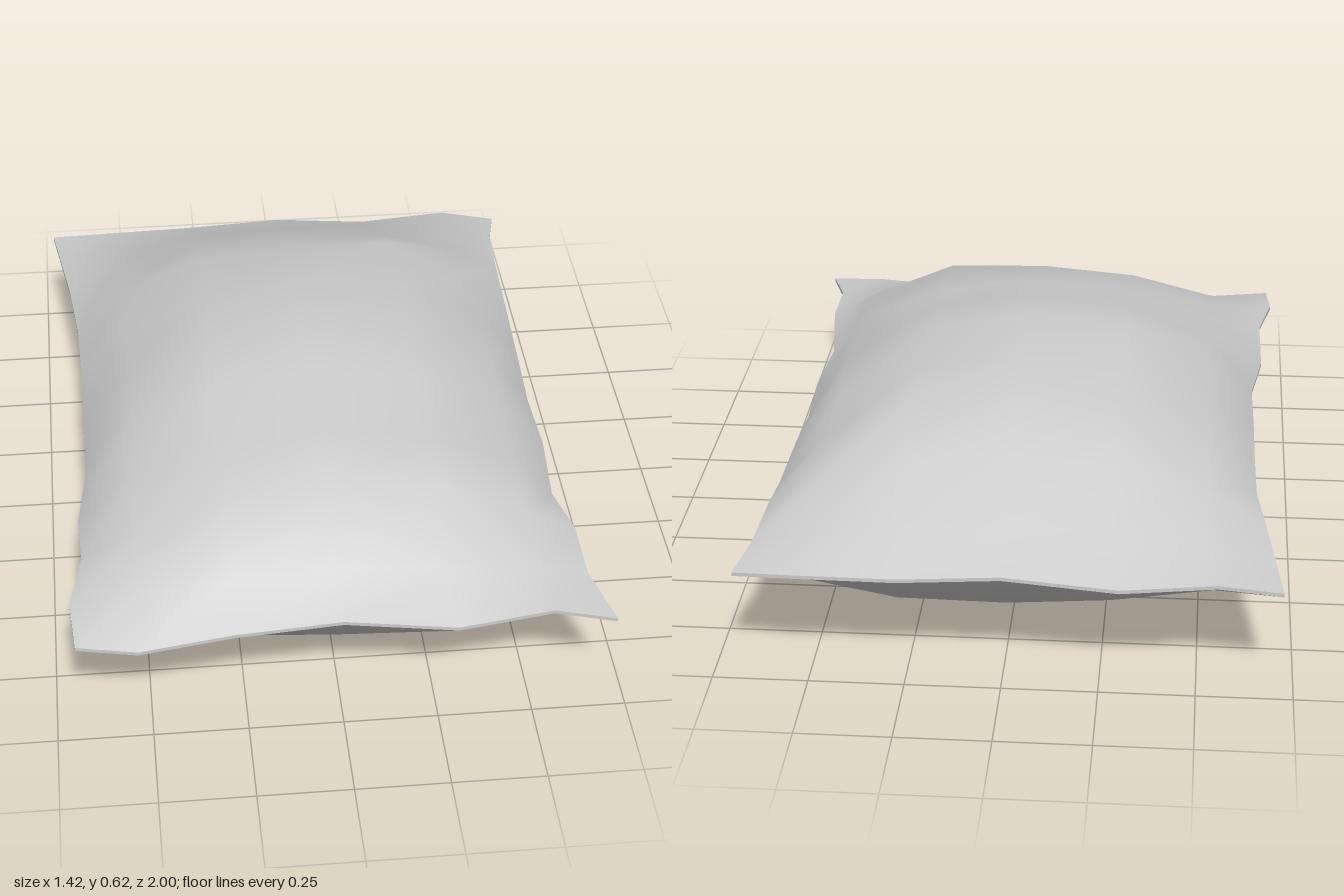
import * as THREE from 'three';

// Grid lines of the cloth: columns run left to right in x, rows run back to front in z
const cols = [-0.65, -0.515, -0.275, 0, 0.285, 0.525, 0.65];
const rows = [-0.98, -0.83, -0.64, -0.44, -0.22, 0, 0.22, 0.45, 0.65, 0.83, 0.98];

// Wavy seam outline and its height along each of the four edges
const edges = {
  minX: [-0.715, -0.695, -0.67, -0.65, -0.645, -0.645, -0.64, -0.67, -0.665, -0.70, -0.69],
  maxX: [0.69, 0.66, 0.65, 0.655, 0.645, 0.645, 0.65, 0.635, 0.66, 0.66, 0.71],
  back: [-0.985, -0.975, -1, -0.99, -0.985, -1, -0.97],
  front: [0.98, 0.99, 0.97, 0.98, 0.985, 0.97, 1],
  minXHeight: [0.30, 0.31, 0.32, 0.30, 0.31, 0.29, 0.30, 0.29, 0.32, 0.315, 0.30],
  maxXHeight: [0.295, 0.315, 0.325, 0.285, 0.30, 0.275, 0.285, 0.285, 0.325, 0.32, 0.30],
  backHeight: [0.30, 0.31, 0.30, 0.32, 0.30, 0.31, 0.295],
  frontHeight: [0.30, 0.28, 0.30, 0.33, 0.29, 0.315, 0.30],
};
const backX = [0, -0.55, -0.3, 0, 0.27, 0.53, 0];
const frontX = [0, -0.53, -0.28, 0, 0.3, 0.55, 0];

// Relative fullness across and along the cushion, with a few lumps [column, row, extra height]
const topSide = {
  height: 0.33,
  across: [0, 0.56, 0.89, 1, 0.85, 0.49, 0],
  along: [0, 0.28, 0.61, 0.82, 0.87, 1, 0.88, 0.75, 0.64, 0.28, 0],
  lumps: [[4, 3, 0.04], [4, 8, 0.025], [1, 8, -0.02]],
};
const underside = {
  height: -0.295,
  across: [0, 0.55, 0.86, 1, 0.97, 0.64, 0],
  along: [0, 0.47, 0.72, 0.77, 0.94, 1, 0.9, 0.94, 0.64, 0.47, 0],
  lumps: [],
};

function swell(side, i, j) {
  const lump = side.lumps.find(([c, r]) => c === i && r === j);
  return side.height * side.across[i] * side.along[j] + (lump ? lump[2] : 0);
}

function seamHeight(i, j) {
  if (j === 0) return edges.backHeight[i];
  if (j === 10) return edges.frontHeight[i];
  if (i === 0) return edges.minXHeight[j];
  if (i === 6) return edges.maxXHeight[j];
  return 0.3;
}

function columnX(i, j) {
  if (i === 0) return edges.minX[j];
  if (i === 6) return edges.maxX[j];
  if (j === 0) return backX[i];
  if (j === 10) return frontX[i];
  return cols[i];
}

function rowZ(i, j) {
  if (j === 0) return edges.back[i];
  if (j === 10) return edges.front[i];
  return rows[j];
}

export function createModel() {
  const group = new THREE.Group();
  group.name = 'pillow';

  // A thin slab whose two faces are inflated; its side faces become the seam strip
  const geometry = new THREE.BoxGeometry(1, 1, 1, 6, 1, 10);
  const p = geometry.attributes.position;
  for (let k = 0; k < p.count; k++) {
    const i = Math.round((p.getX(k) + 0.5) * 6);
    const j = Math.round((p.getZ(k) + 0.5) * 10);
    const up = p.getY(k) > 0;
    const onSeam = i === 0 || i === 6 || j === 0 || j === 10;
    const y = seamHeight(i, j) + swell(up ? topSide : underside, i, j)
      + (onSeam ? (up ? 0.005 : -0.005) : 0);
    p.setXYZ(k, columnX(i, j), y, rowZ(i, j));
  }
  geometry.computeVertexNormals();

  const cushion = new THREE.Mesh(geometry, new THREE.MeshStandardMaterial({ color: 0xcccccc }));
  cushion.name = 'cushion';
  group.add(cushion);
  return group;
}
